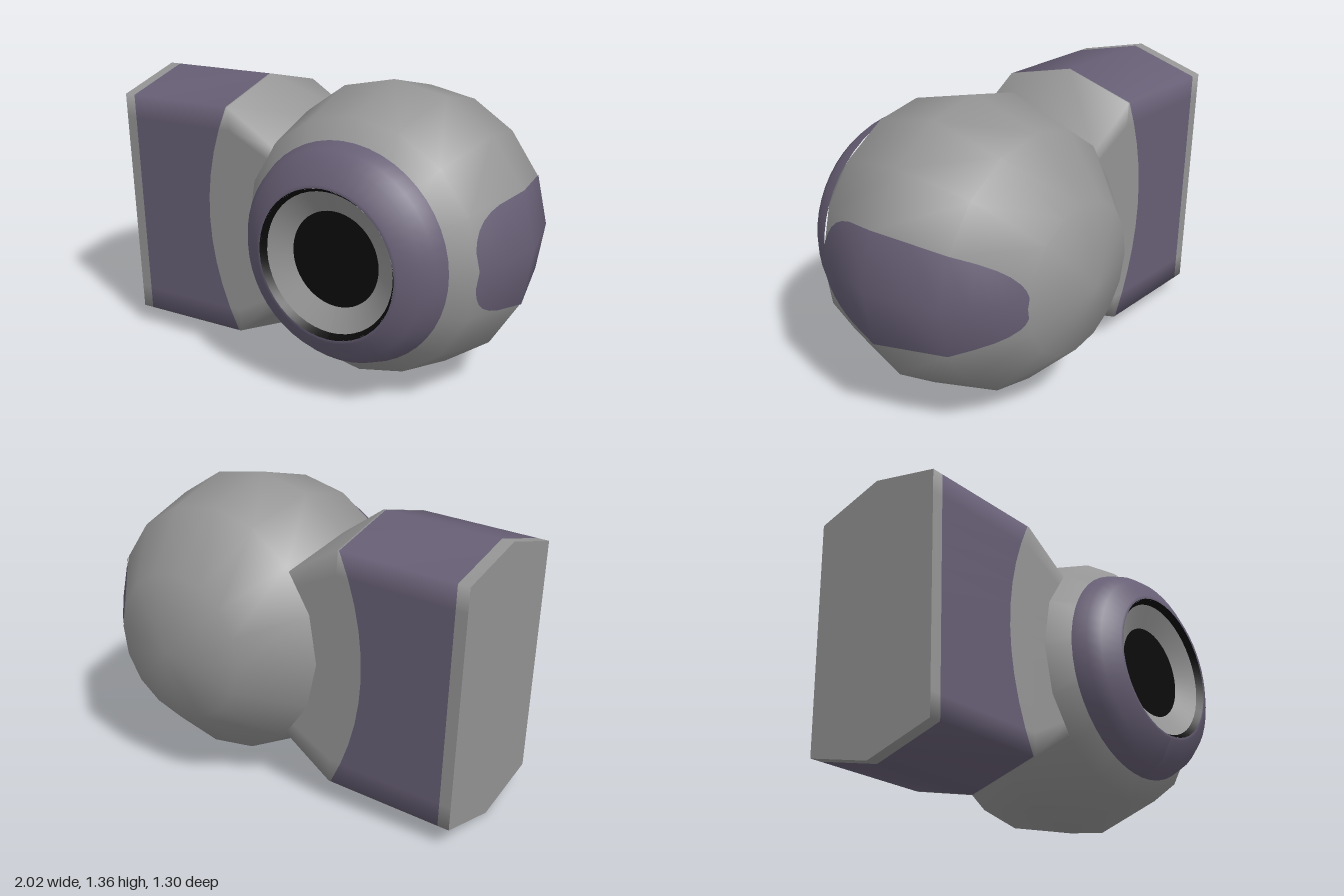
import * as THREE from 'three';

const R = 0.675;

export function createModel() {
  const grey = new THREE.MeshStandardMaterial({ color: 0x959595 });
  grey.name = 'casing grey';
  const purple = new THREE.MeshStandardMaterial({ color: 0x675f75 });
  purple.name = 'panel purple';
  const black = new THREE.MeshStandardMaterial({ color: 0x0b0b0b });
  black.name = 'lens black';

  const model = new THREE.Group();
  const body = new THREE.Group();
  body.name = 'body';
  body.position.set(0.33, 0.685, 0.02);
  body.rotation.set(0, -0.175, 0.036);
  model.add(body);

  const add = (name, geometry, material) => {
    const mesh = new THREE.Mesh(geometry, material);
    mesh.name = name;
    body.add(mesh);
    return mesh;
  };

  // Ball head, open at the front pole for the eye
  const ball = new THREE.SphereGeometry(R, 16, 5, 0, Math.PI * 2, Math.PI / 6, Math.PI * 5 / 6);
  add('head', ball.rotateX(Math.PI / 2), grey);

  // Eye parts turned around the front axis; points are [radius, depth], outside to inside
  const turned = (points) => new THREE.LatheGeometry(
    points.map(([r, d]) => new THREE.Vector2(r, d)).reverse(), 48).rotateX(Math.PI / 2);
  const facingFront = (name, points, material) => {
    const geometry = turned(points);
    // Lathe faces must look forwards
    const p = geometry.attributes.position, idx = geometry.index.array;
    const v = [0, 1, 2].map((k) => new THREE.Vector3().fromBufferAttribute(p, idx[k + (points[points.length - 1][0] ? 0 : 3)]));
    const n = v[1].clone().sub(v[0]).cross(v[2].clone().sub(v[0]));
    if (n.z < 0) {
      for (let i = 0; i < idx.length; i += 3) [idx[i], idx[i + 1]] = [idx[i + 1], idx[i]];
    }
    geometry.computeVertexNormals();
    add(name, geometry, material);
  };
  facingFront('eyeSurround', [[0.498, 0.425], [0.475, 0.49], [0.435, 0.54], [0.35, 0.588], [0.335, 0.588]], purple);
  facingFront('eyeRim', [[0.335, 0.588], [0.315, 0.56]], black);
  facingFront('eyeRing', [[0.315, 0.56], [0.215, 0.505]], grey);
  const pupil = new THREE.CircleGeometry(0.216, 48);
  add('pupil', pupil.translate(0, 0, 0.505), black);

  // Side panel: a thin rounded plate lying on the facets of the ball
  const rad = THREE.MathUtils.degToRad;
  const onSphere = (a, z) => new THREE.Vector3(
    Math.sin(rad(a)) * Math.cos(rad(z)), Math.sin(rad(a)) * Math.sin(rad(z)), Math.cos(rad(a))).multiplyScalar(R + 0.004);
  const onFacet = (a, z) => {
    const a0 = Math.floor(a / 30) * 30, s = z < 0 ? -22.5 : 22.5, t = z / s, f = (a - a0) / 30;
    const near = onSphere(a0, 0).lerp(onSphere(a0, s), t);
    return near.lerp(onSphere(a0 + 30, 0).lerp(onSphere(a0 + 30, s), t), f);
  };
  const angles = [60.5, 61, 62, 64, 67, 71, 76, 90, 105, 120, 130, 137, 142, 146, 148, 149, 149.5];
  const pos = [], nor = [], tri = [];
  angles.forEach((a, row) => {
    const t = Math.abs(a - 105) / 45;
    const half = 22.5 * Math.pow(1 - Math.pow(t, 6), 0.4);
    [-half, 0, half].forEach((z) => {
      pos.push(...onFacet(a, z).toArray());
      nor.push(...onSphere(a, z).normalize().toArray());
    });
    if (row) {
      for (let c = 0; c < 2; c++) {
        const i = (row - 1) * 3 + c, j = i + 3;
        tri.push(i, j, i + 1, j, j + 1, i + 1);
      }
    }
  });
  const panel = new THREE.BufferGeometry();
  panel.setAttribute('position', new THREE.Float32BufferAttribute(pos, 3));
  panel.setAttribute('normal', new THREE.Float32BufferAttribute(nor, 3));
  panel.setIndex(tri);
  add('sidePanel', panel, purple);

  // Arm: six-sided section with ridged top and bottom; [height, depth] around the section
  const ROWS = 10, H = 0.55, D = 0.34;
  const section = [[0.64, 0]];
  for (let i = 0; i <= ROWS; i++) section.push([H - 2 * H * i / ROWS, D]);
  section.push([-0.64, 0]);
  for (let i = 0; i <= ROWS; i++) section.push([-H + 2 * H * i / ROWS, -D]);
  const N = section.length;

  // Rings from the outer end to the neck; the purple band ends in a curve on both sides
  const curve = (v) => -0.68 - 0.135 * Math.max(0, 1 - (v / H) ** 2);
  const rings = [
    { x: () => -1.29, s: 1 },
    { x: () => -1.235, s: 1 },
    { x: curve, s: 1 },
    { x: () => -0.67, s: 1 },
    { x: () => -0.42, s: 0.71 },
  ];
  const armPos = rings.flatMap(({ x, s }) => section.flatMap(([v, w]) => [x(v), v * s, w]));
  const arm = new THREE.BufferGeometry();
  const armTri = [];
  for (let k = 0; k < rings.length - 1; k++) {
    arm.addGroup(armTri.length, N * 6, k === 1 ? 1 : 0);
    for (let i = 0; i < N; i++) {
      const j = (i + 1) % N;
      const a = k * N + i, b = k * N + j, c = b + N, d = a + N;
      armTri.push(a, b, d, b, c, d);
    }
  }
  arm.setAttribute('position', new THREE.Float32BufferAttribute(armPos, 3));
  arm.setIndex(armTri);
  arm.computeVertexNormals();
  add('arm', arm, [grey, purple]);

  // Flat outer end of the arm
  const outline = new THREE.Shape(section.map(([v, w]) => new THREE.Vector2(w, v)));
  const cap = new THREE.ShapeGeometry(outline);
  add('armEnd', cap.rotateY(-Math.PI / 2).translate(-1.29, 0, 0), grey);

  return model;
}
